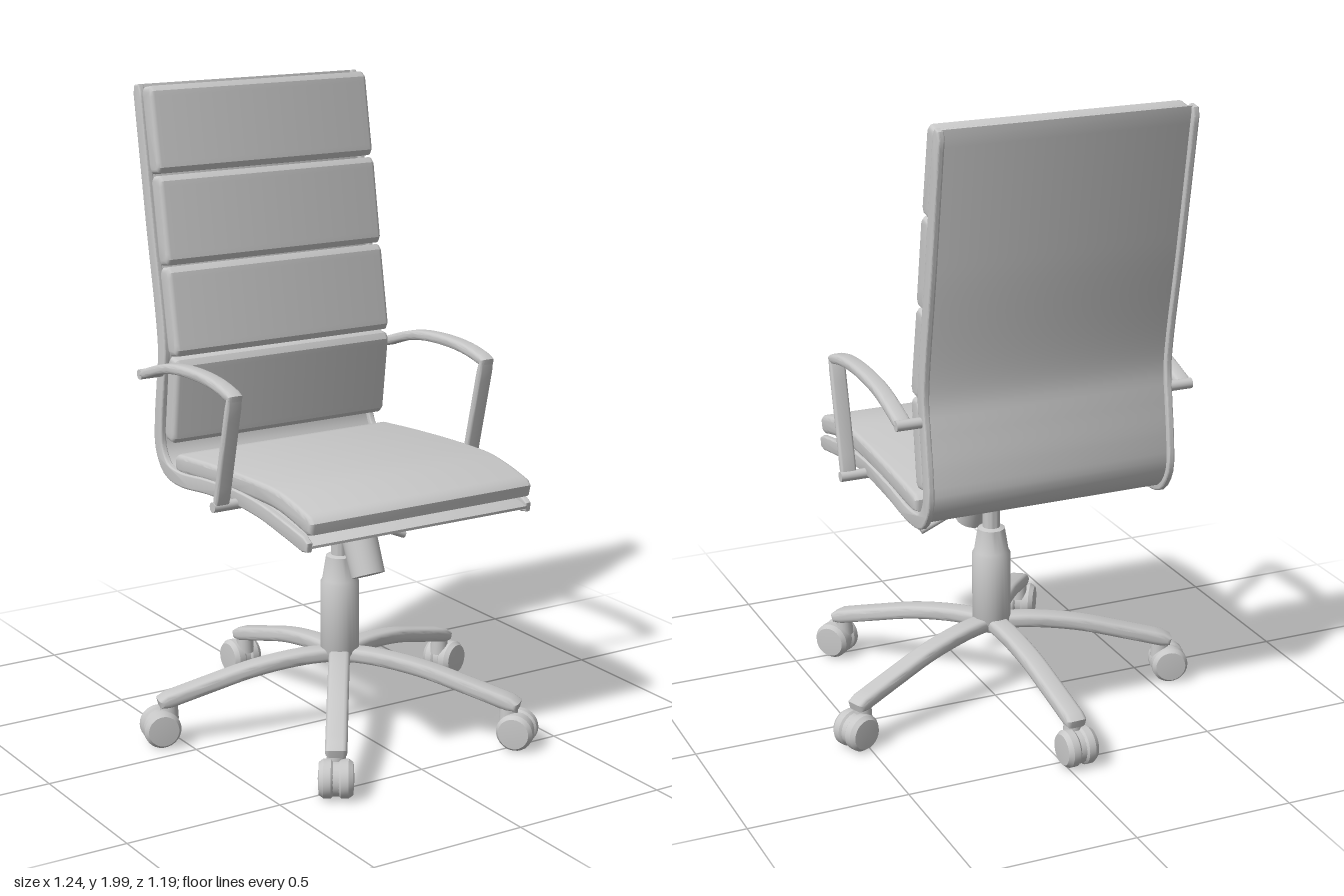
import * as THREE from 'three';
import { toCreasedNormals } from 'three/addons/utils/BufferGeometryUtils.js';

const grey = new THREE.MeshStandardMaterial({ color: 0xc8c8c8 });
grey.name = 'light grey';

function add(parent, name, geometry) {
  const mesh = new THREE.Mesh(geometry, grey);
  mesh.name = name;
  parent.add(mesh);
  return mesh;
}

// Bar following a path of [z, y] points, extruded across x with softened edges
function bar(path, thickness, width, bevel, steps) {
  const curve = new THREE.CatmullRomCurve3(path.map(([z, y]) => new THREE.Vector3(z, y, 0)));
  const upper = [], lower = [];
  for (let i = 0; i <= steps; i++) {
    const p = curve.getPointAt(i / steps), t = curve.getTangentAt(i / steps);
    const h = thickness / 2 * (i === 0 || i === steps ? 0.6 : 1);
    upper.push(new THREE.Vector2(p.x - t.y * h, p.y + t.x * h));
    lower.unshift(new THREE.Vector2(p.x + t.y * h, p.y - t.x * h));
  }
  const g = new THREE.ExtrudeGeometry(new THREE.Shape([...upper, ...lower]), {
    depth: width - 2 * bevel, bevelThickness: bevel, bevelSize: bevel,
    bevelOffset: -bevel, bevelSegments: 3, steps: 1,
  });
  g.translate(0, 0, -(width - 2 * bevel) / 2);
  g.rotateY(-Math.PI / 2);
  return toCreasedNormals(g, 0.6);
}

// Cylinder between two points
function rod(a, b, r0, r1 = r0, sides = 20) {
  const from = new THREE.Vector3(...a), dir = new THREE.Vector3(...b).sub(from);
  const g = new THREE.CylinderGeometry(r1, r0, dir.length(), sides);
  g.applyQuaternion(new THREE.Quaternion().setFromUnitVectors(
    new THREE.Vector3(0, 1, 0), dir.clone().normalize()));
  return g.translate(...from.addScaledVector(dir, 0.5).toArray());
}

function lathe(points, sides = 28) {
  const g = new THREE.LatheGeometry(points.map(p => new THREE.Vector2(...p)), sides);
  return toCreasedNormals(g, 0.6);
}

// Twin wheel caster rolling along z, axle along x
function makeCaster() {
  const caster = new THREE.Group();
  caster.name = 'caster';
  for (const s of [-1, 1]) {
    const wheel = lathe([[0, -0.022], [0.05, -0.022], [0.058, -0.014],
      [0.058, 0.008], [0.048, 0.022], [0, 0.025]]);
    wheel.rotateZ(-s * Math.PI / 2).translate(s * 0.029, 0.058, 0.02);
    add(caster, 'wheel', wheel);
  }
  add(caster, 'casterHood', rod([-0.012, 0.058, 0.02], [0.012, 0.058, 0.02], 0.052));
  add(caster, 'casterStem', rod([0, 0.08, -0.008], [0, 0.15, -0.008], 0.03, 0.026));
  return caster;
}

export function createModel() {
  const chair = new THREE.Group();
  chair.name = 'officeChair';

  // Continuous frame: two side rails with a sheet stretched between them
  const framePath = [[0.49, 0.762], [0.36, 0.785], [0.22, 0.806], [0.08, 0.812], [-0.1, 0.802],
    [-0.28, 0.785], [-0.36, 0.80], [-0.403, 0.86], [-0.403, 0.95], [-0.385, 1.08],
    [-0.374, 1.18], [-0.44, 1.58], [-0.508, 1.99]];
  add(chair, 'frameSheet', bar(framePath, 0.014, 0.77, 0.002, 80));
  for (const s of [-1, 1]) {
    add(chair, 'sideRail', bar(framePath, 0.048, 0.02, 0.006, 80)).position.x = s * 0.389;
  }

  // Seat cushion and four back cushions
  add(chair, 'seatCushion', bar([[0.5, 0.817], [0.4, 0.842], [0.3, 0.858], [0.15, 0.858],
    [-0.1, 0.845], [-0.31, 0.828]], 0.06, 0.785, 0.014, 40));
  const pads = [[[-0.458, 1.988], [-0.41, 1.724]], [[-0.406, 1.718], [-0.36, 1.446]],
    [[-0.36, 1.44], [-0.311, 1.168]], [[-0.311, 1.162], [-0.346, 0.89]]];
  for (const pad of pads) add(chair, 'backCushion', bar(pad, 0.066, 0.785, 0.014, 16));

  // Armrests
  for (const s of [-1, 1]) {
    const arm = new THREE.Group();
    arm.name = s > 0 ? 'leftArmrest' : 'rightArmrest';
    add(arm, 'armTop', bar([[0.185, 1.145], [0.08, 1.167], [-0.07, 1.173],
      [-0.22, 1.157], [-0.38, 1.108]], 0.03, 0.05, 0.01, 24));
    add(arm, 'armPost', bar([[0.175, 1.15], [0.085, 0.785]], 0.024, 0.05, 0.008, 10));
    for (const child of arm.children) child.position.x = s * 0.452;
    add(arm, 'rearArmPin', rod([s * 0.385, 1.11, -0.375], [s * 0.476, 1.11, -0.375], 0.016));
    add(arm, 'frontArmPin', rod([s * 0.385, 0.795, 0.085], [s * 0.48, 0.795, 0.085], 0.016));
    chair.add(arm);
  }

  // Swivel base, centred under the seat
  const base = new THREE.Group();
  base.name = 'swivelBase';
  base.position.set(-0.01, 0, 0.053);
  chair.add(base);

  add(base, 'seatPlate', lathe([[0, 0.742], [0.07, 0.744], [0.125, 0.755], [0.152, 0.772],
    [0.153, 0.785], [0, 0.8]], 36));
  add(base, 'column', lathe([[0, 0.215], [0.045, 0.215], [0.061, 0.25], [0.061, 0.475],
    [0.055, 0.485], [0.043, 0.56], [0.028, 0.565], [0.028, 0.66], [0.034, 0.665],
    [0.04, 0.75], [0, 0.75]]));

  // Tension knob
  add(base, 'knobShaft', rod([0, 0.75, 0.067], [0, 0.635, 0.118], 0.027));
  add(base, 'tensionKnob', rod([0, 0.643, 0.114], [0, 0.538, 0.162], 0.055, 0.053, 28));

  // Height lever with a small collar
  add(base, 'heightLever', rod([0.02, 0.68, 0], [0.24, 0.588, 0], 0.01, 0.012));
  add(base, 'leverCollar', rod([0.088, 0.651, 0], [0.102, 0.645, 0], 0.026));

  // Five arched legs with casters
  for (let i = 0; i < 5; i++) {
    const leg = new THREE.Group();
    leg.name = 'leg';
    leg.rotation.y = Math.PI + 0.045 + i * Math.PI * 2 / 5;
    add(leg, 'legArm', bar([[0, 0.24], [0.12, 0.239], [0.28, 0.217], [0.43, 0.178],
      [0.585, 0.135]], 0.044, 0.066, 0.014, 20));
    const caster = makeCaster();
    caster.position.z = 0.56;
    leg.add(caster);
    base.add(leg);
  }
  return chair;
}
